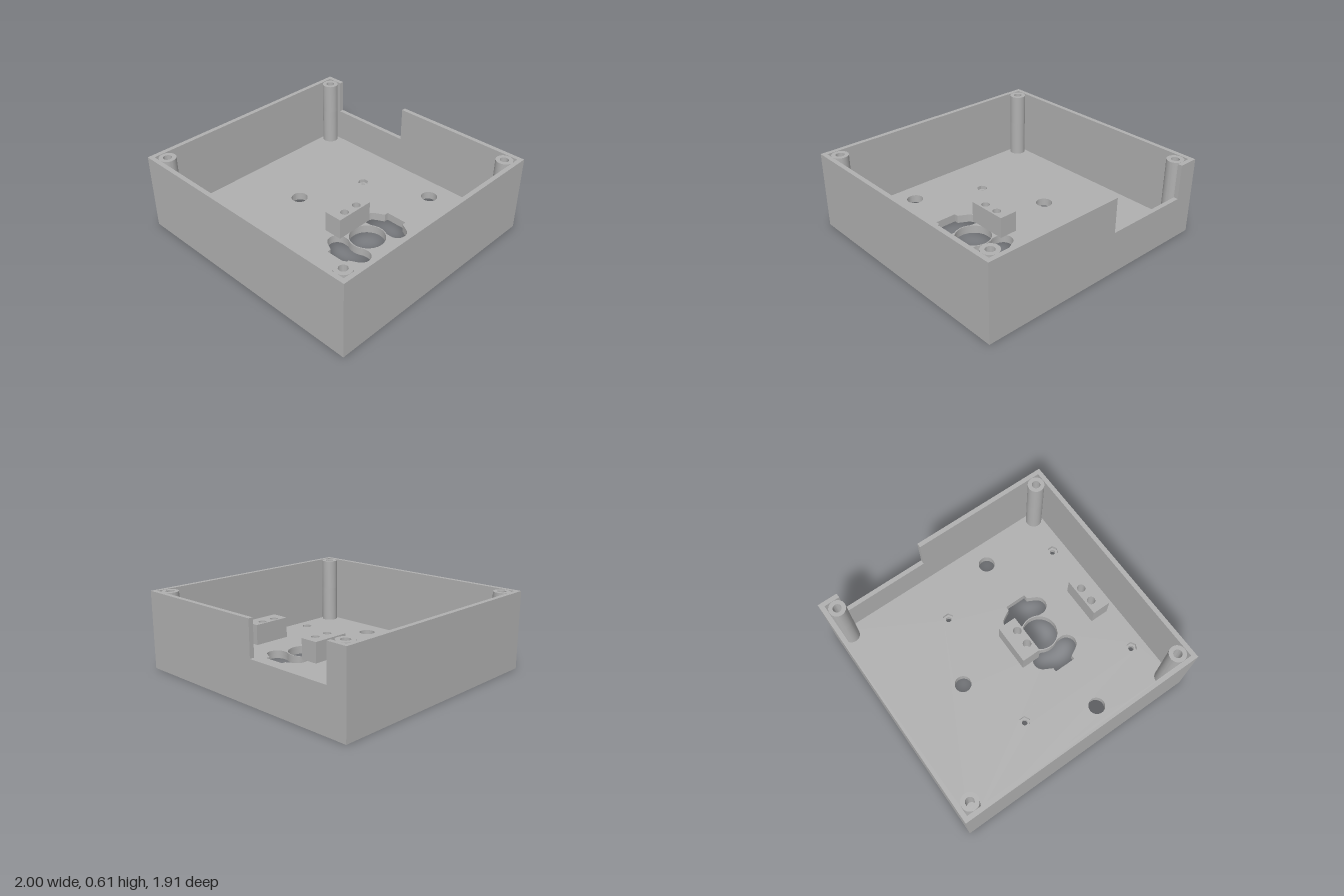
import * as THREE from 'three';
import { toCreasedNormals } from 'three/addons/utils/BufferGeometryUtils.js';

const HX = 1, HZ = 0.955, HEIGHT = 0.61, FLOOR = 0.065, WALL = 0.036;
const NOTCH_Y = 0.335, NOTCH_X0 = -0.84, NOTCH_X1 = -0.135;

function polygon(points, Type = THREE.Path) {
  return new Type(points.map(([x, z]) => new THREE.Vector2(x, -z)));
}
const rectangle = (x0, x1, z0, z1, Type) =>
  polygon([[x0, z0], [x0, z1], [x1, z1], [x1, z0]], Type);

function circle(x, z, r, Type = THREE.Path) {
  const path = new Type();
  path.absarc(x, -z, r, 0, Math.PI * 2, false);
  return path;
}

function hexagon(x, z, r) {
  return polygon(Array.from({ length: 6 }, (_, i) =>
    [x + r * Math.cos(i * Math.PI / 3), z + r * Math.sin(i * Math.PI / 3)]));
}

// Lobed slot beside the central hole; side is +1 or -1 along z
function lobedSlot(side) {
  const cx = 0.335, half = [];
  half.push([0.09, 0.335], [0.09, 0.302]);
  for (let i = 0; i <= 12; i++) {
    const a = THREE.MathUtils.lerp(1.15, -Math.PI / 2, i / 12);
    half.push([0.12 + 0.076 * Math.cos(a), 0.2 + 0.076 * Math.sin(a)]);
  }
  for (let i = 0; i <= 5; i++) {
    const a = 0.55 * (1 - i / 5);
    half.push([0.148 * Math.sin(a), 0.148 * Math.cos(a)]);
  }
  const mirrored = half.slice(0, -1).reverse().map(([x, z]) => [-x, z]);
  return polygon([...half, ...mirrored].map(([x, z]) => [cx + x, z * side]));
}

// Extrude a plan outline upward between two heights
function slab(shape, holes, y0, y1) {
  shape.holes.push(...holes);
  const geometry = new THREE.ExtrudeGeometry(shape, {
    depth: y1 - y0, bevelEnabled: false, curveSegments: 24,
  });
  geometry.rotateX(-Math.PI / 2).translate(0, y0, 0);
  return toCreasedNormals(geometry, 0.6);
}

export function createModel() {
  const model = new THREE.Group();
  model.name = 'openEnclosure';
  const grey = new THREE.MeshStandardMaterial({ color: 0xb0b0b0 });
  grey.name = 'grey plastic';

  const add = (name, geometry, parent = model) => {
    const mesh = new THREE.Mesh(geometry, grey);
    mesh.name = name;
    parent.add(mesh);
  };

  // Floor in two layers, so the screw holes open into hexagonal nut pockets
  const screws = [[-0.19, -0.525], [-0.19, 0.52], [0.855, -0.525], [0.855, 0.52]];
  const openings = () => [
    circle(-0.405, 0, 0.065), circle(0.335, -0.74, 0.065), circle(0.335, 0.74, 0.065),
    circle(0.335, 0, 0.14), lobedSlot(1), lobedSlot(-1),
  ];
  const plan = () => rectangle(-HX, HX, -HZ, HZ, THREE.Shape);
  const pocketY = 0.035;
  add('floorBottom', slab(plan(),
    [...openings(), ...screws.map(([x, z]) => circle(x, z, 0.022))], 0, pocketY));
  add('floorTop', slab(plan(),
    [...openings(), ...screws.map(([x, z]) => hexagon(x, z, 0.043))], pocketY, FLOOR));

  // Walls, with a notch in the upper part of the back wall
  const ix = HX - WALL, iz = HZ - WALL;
  add('lowerWalls', slab(plan(), [rectangle(-ix, ix, -iz, iz)], FLOOR, NOTCH_Y));
  add('upperWalls', slab(polygon([
    [NOTCH_X0, -HZ], [-HX, -HZ], [-HX, HZ], [HX, HZ], [HX, -HZ], [NOTCH_X1, -HZ],
    [NOTCH_X1, -iz], [ix, -iz], [ix, iz], [-ix, iz], [-ix, -iz], [NOTCH_X0, -iz],
  ], THREE.Shape), [], NOTCH_Y, HEIGHT));

  // Corner pillars with blind screw holes
  for (const x of [-0.897, 0.897]) {
    for (const z of [-0.853, 0.853]) {
      const pillar = new THREE.Group();
      pillar.name = 'cornerPillar';
      model.add(pillar);
      const disc = () => circle(x, z, 0.065, THREE.Shape);
      add('pillarShaft', slab(disc(), [], FLOOR, 0.36), pillar);
      add('pillarSocket', slab(disc(), [circle(x, z, 0.033)], 0.36, HEIGHT - 0.002), pillar);
    }
  }

  // Mounting blocks, each with two blind holes
  for (const [x0, x1, holeX] of [[0.052, 0.205, 0.157], [0.732, 0.884, 0.779]]) {
    const block = new THREE.Group();
    block.name = 'mountingBlock';
    model.add(block);
    const outline = () => rectangle(x0, x1, -0.164, 0.162, THREE.Shape);
    add('blockBase', slab(outline(), [], FLOOR, 0.09), block);
    add('blockSocket', slab(outline(),
      [circle(holeX, -0.064, 0.033), circle(holeX, 0.064, 0.033)], 0.09, 0.235), block);
  }
  return model;
}
